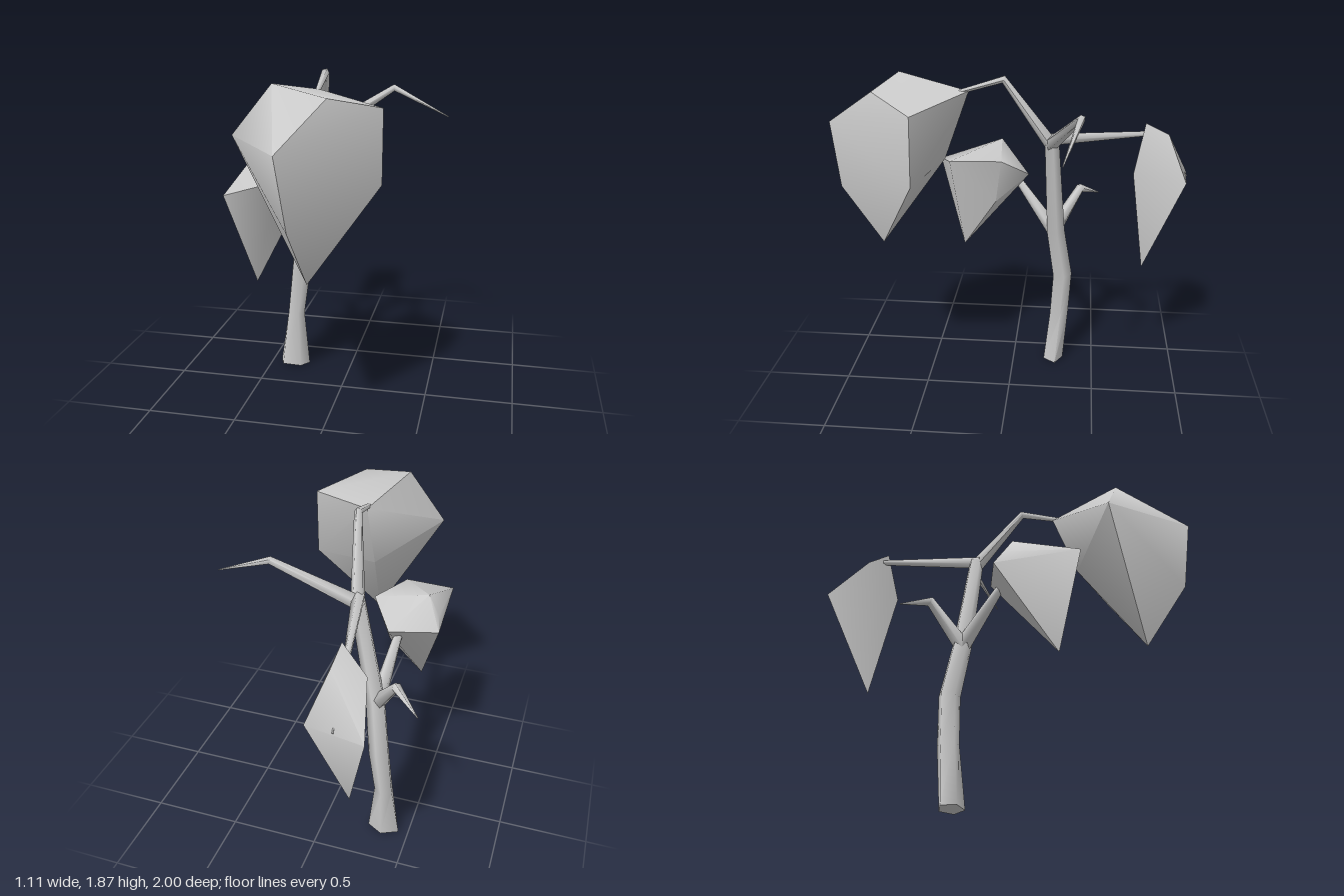
import * as THREE from 'three';
import { toCreasedNormals } from 'three/addons/utils/BufferGeometryUtils.js';
import { ConvexGeometry } from 'three/addons/geometries/ConvexGeometry.js';

const material = new THREE.MeshStandardMaterial({ color: 0xcccccc });
const V = (p) => new THREE.Vector3(p[0], p[1], p[2]);

// Tapering limb: rings of a few sides along a bent path of [x, y, z, radius, stretch]
function limb(name, path, ref, sides = 5) {
  const pts = path.map(V), pos = [], index = [];
  const up = V(ref);
  path.forEach(([, , , r, stretch = 1], i) => {
    const t = new THREE.Vector3();
    if (i > 0) t.add(pts[i].clone().sub(pts[i - 1]).normalize());
    if (i < pts.length - 1) t.add(pts[i + 1].clone().sub(pts[i]).normalize());
    t.normalize();
    const n = up.clone().cross(t).normalize();
    const b = t.clone().cross(n);
    for (let j = 0; j < sides; j++) {
      const a = ((j + 0.2) / sides) * Math.PI * 2;
      const p = pts[i].clone().addScaledVector(n, Math.cos(a) * r * stretch).addScaledVector(b, Math.sin(a) * r);
      pos.push(p.x, p.y, p.z);
    }
  });
  const last = (pts.length - 1) * sides;
  for (let i = 0; i < last; i += sides) {
    for (let j = 0; j < sides; j++) {
      const k = (j + 1) % sides;
      index.push(i + j, i + k, i + sides + k, i + j, i + sides + k, i + sides + j);
    }
  }
  // end caps
  for (let j = 1; j < sides - 1; j++) {
    index.push(0, j + 1, j, last, last + j, last + j + 1);
  }
  const g = new THREE.BufferGeometry();
  g.setAttribute('position', new THREE.Float32BufferAttribute(pos, 3));
  g.setIndex(index);
  const mesh = new THREE.Mesh(toCreasedNormals(g, 1.4), material);
  mesh.name = name;
  return mesh;
}

// Faceted foliage clump hanging to a point
function clump(name, corners) {
  const mesh = new THREE.Mesh(toCreasedNormals(new ConvexGeometry(corners.map(V)), 1.0), material);
  mesh.name = name;
  return mesh;
}

export function createModel() {
  const tree = new THREE.Group();
  tree.name = 'tree';

  // Trunk, flared at the foot
  tree.add(limb('trunk', [
    [-0.355, 0.02, -0.25, 0.065, 1.5],
    [-0.35, 0.35, -0.28, 0.06, 0.9],
    [-0.32, 0.63, -0.295, 0.06],
    [-0.28, 0.93, -0.25, 0.055],
    [-0.16, 1.52, -0.22, 0.042],
  ], [0, 0, -1]));

  // Upper branches
  tree.add(limb('frontBranch', [
    [-0.165, 1.48, -0.23, 0.04], [-0.08, 1.865, 0.035, 0.022], [-0.065, 1.79, 0.29, 0.012],
  ], [1, 0, 0]));
  tree.add(limb('sideBranch', [
    [-0.17, 1.49, -0.215, 0.04], [0.23, 1.745, -0.38, 0.02], [0.55, 1.6, -0.3, 0.003],
  ], [0, 0, 1]));
  tree.add(limb('backBranch', [
    [-0.16, 1.52, -0.2, 0.035], [-0.28, 1.535, -0.76, 0.016], [-0.29, 1.29, -0.985, 0.004],
  ], [1, 0, 0]));

  // Lower branches
  tree.add(limb('lowerFrontBranch', [
    [-0.285, 0.92, -0.25, 0.045], [-0.33, 1.23, -0.02, 0.024], [-0.45, 1.28, 0.42, 0.006],
  ], [1, 0, 0]));
  tree.add(limb('lowerSideBranch', [
    [-0.285, 0.92, -0.24, 0.045], [-0.42, 1.15, -0.39, 0.028], [-0.56, 1.075, -0.5, 0.003],
  ], [1, 0, -1]));

  // Foliage
  tree.add(clump('largeFoliage', [
    [-0.2, 1.87, 0.62], [0.08, 1.82, 0.71], [0.3, 1.75, 0.47], [0.3, 1.38, 0.48],
    [-0.02, 0.93, 0.72], [-0.41, 1.62, 0.6], [-0.07, 1.8, 0.22], [-0.09, 1.61, 1],
    [-0.05, 1.25, 0.95], [-0.08, 1.42, 0.36],
  ]));
  tree.add(clump('lowerFoliage', [
    [-0.54, 1.26, 0], [-0.29, 1.27, -0.09], [-0.17, 1.38, 0.06], [-0.27, 1.34, 0.37],
    [-0.52, 1.28, 0.46], [-0.46, 1.43, 0.08], [-0.525, 1.33, 0.05], [-0.25, 1.11, 0.1],
    [-0.4, 0.77, 0.31],
  ]));
  tree.add(clump('backFoliage', [
    [-0.44, 1.27, -1], [-0.15, 1.29, -0.97], [-0.2, 1.32, -0.68], [-0.25, 1.6, -0.735],
    [-0.24, 1.54, -0.865], [-0.385, 1.48, -0.79], [-0.3, 0.7, -0.77],
  ]));
  return tree;
}
